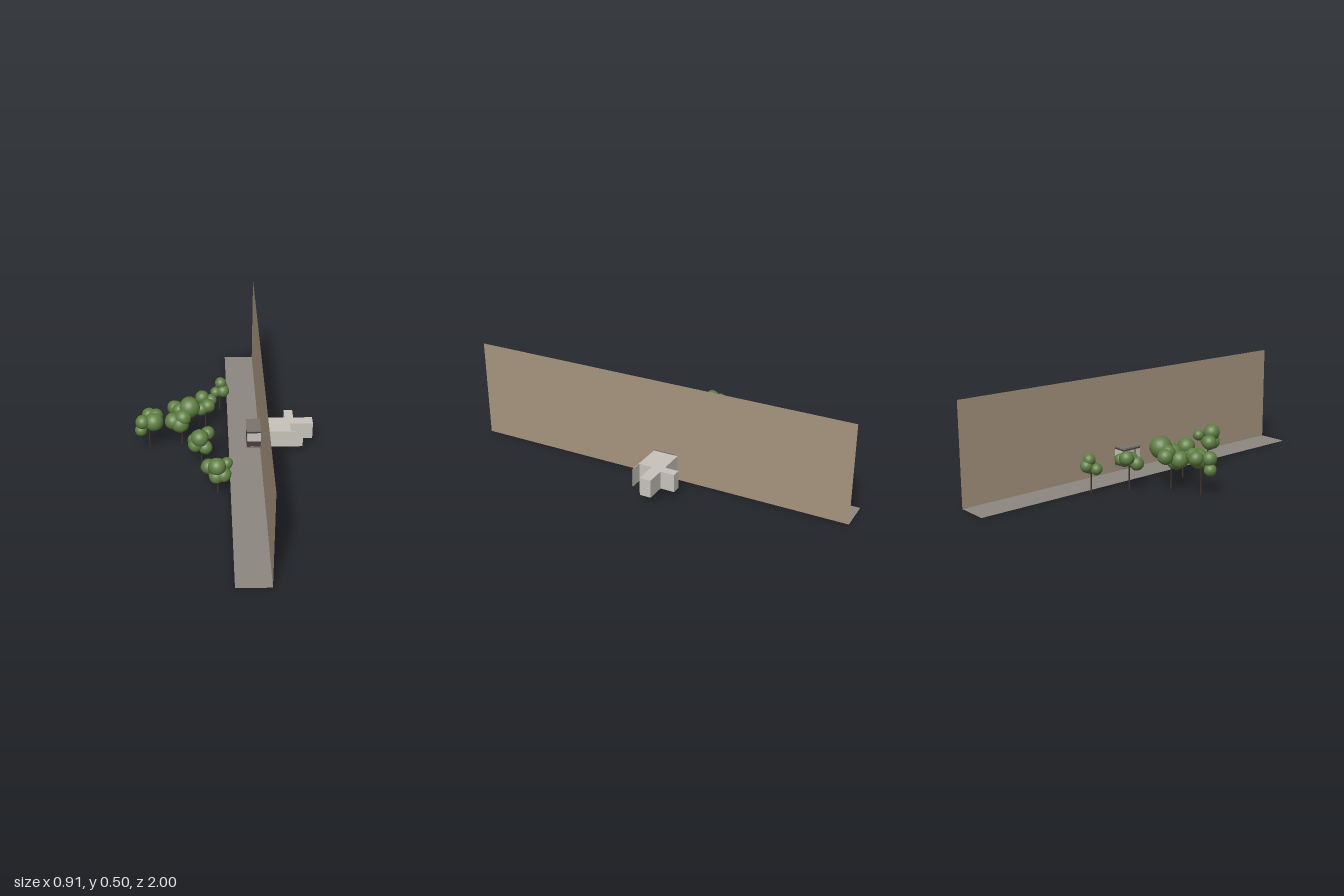
import * as THREE from 'three';

const mat = (name, color, side = THREE.FrontSide) => {
  const m = new THREE.MeshStandardMaterial({ color, side });
  m.name = name;
  return m;
};

export function createModel() {
  const model = new THREE.Group();
  model.name = 'cliffHouse';
  const rock = mat('cliffTan', 0xa7957e, THREE.DoubleSide);
  const ground = mat('groundGrey', 0x8c8780, THREE.DoubleSide);
  const concrete = mat('concrete', 0xc8c4bc);
  const slabGrey = mat('slabGrey', 0x7a746c);
  const darkBrown = mat('darkBrown', 0x4a4039);
  const underside = mat('undersideDark', 0x2b2927);
  const glass = mat('paleGlass', 0xc3c5be);
  const leaf = mat('leafGreen', 0x5f7f43);
  const bark = mat('bark', 0x3f342c);

  const add = (name, geo, material, parent = model) => {
    const mesh = new THREE.Mesh(geo, material);
    mesh.name = name;
    parent.add(mesh);
    return mesh;
  };
  // Box given by its minimum and maximum corners
  const box = (name, [x0, y0, z0], [x1, y1, z1], material, parent) => {
    const g = new THREE.BoxGeometry(x1 - x0, y1 - y0, z1 - z0);
    g.translate((x0 + x1) / 2, (y0 + y1) / 2, (z0 + z1) / 2);
    return add(name, g, material, parent);
  };

  // Cliff face and the ledge at its foot
  add('cliffWall', new THREE.PlaneGeometry(2, 0.505).rotateY(Math.PI / 2).translate(0.182, 0.2525, 0), rock);
  add('groundStrip', new THREE.PlaneGeometry(0.162, 2).rotateX(-Math.PI / 2).translate(0.101, 0, 0), ground);

  // Rooms on the far side of the cliff: one plan with two arms
  const house = new THREE.Group();
  house.name = 'house';
  model.add(house);
  const plan = [[0.183, 0], [0.333, 0], [0.333, -0.07], [0.452, -0.07], [0.452, -0.128],
    [0.355, -0.128], [0.355, -0.2], [0.31, -0.2], [0.31, -0.128], [0.183, -0.128]];
  const shape = () => new THREE.Shape(plan.map(([x, z]) => new THREE.Vector2(x, -z)));
  const prism = (y, depth) => new THREE.ExtrudeGeometry(shape(), { depth, bevelEnabled: false })
    .rotateX(-Math.PI / 2).translate(0, y, 0);
  add('rooms', prism(0.039, 0.091), concrete, house);
  add('roomFloor', prism(0.0375, 0.0015), underside, house);
  box('screenWall', [0.183, 0.0375, -0.002], [0.396, 0.13, 0.001], concrete, house);

  // Glazed lookout projecting over the ledge
  const lookout = new THREE.Group();
  lookout.name = 'lookout';
  model.add(lookout);
  box('lowerSlab', [0.109, 0.03, -0.112], [0.184, 0.0345, 0.002], slabGrey, lookout);
  box('parapet', [0.112, 0.0375, -0.109], [0.182, 0.07, 0], darkBrown, lookout);
  box('floorJoint', [0.116, 0.0345, -0.105], [0.182, 0.0375, -0.004], concrete, lookout);
  box('windows', [0.113, 0.07, -0.108], [0.182, 0.12, -0.001], glass, lookout);
  box('windowHeader', [0.112, 0.12, -0.109], [0.182, 0.127, 0], darkBrown, lookout);
  box('roofJoint', [0.116, 0.127, -0.105], [0.182, 0.1305, -0.004], concrete, lookout);
  box('roofSlab', [0.109, 0.1305, -0.112], [0.184, 0.135, 0.004], slabGrey, lookout);
  for (const z of [-0.073, -0.036]) {
    box('mullion', [0.111, 0.07, z - 0.002], [0.115, 0.12, z + 0.002], darkBrown, lookout);
  }

  // Leaf ball with a gently lumpy surface
  const leafBall = (x, y, z, r, seed) => {
    const g = new THREE.IcosahedronGeometry(r, 3);
    const p = g.attributes.position, n = g.attributes.normal, v = new THREE.Vector3();
    for (let i = 0; i < p.count; i++) {
      v.fromBufferAttribute(p, i).normalize();
      const k = 1 + 0.035 * Math.sin(4 * v.x + seed) * Math.cos(5 * v.y + 2 * seed)
        + 0.025 * Math.sin(6 * v.z + 3 * seed);
      p.setXYZ(i, v.x * r * k, v.y * r * k, v.z * r * k);
      n.setXYZ(i, v.x, v.y, v.z);
    }
    return g.translate(x, y, z);
  };

  // Trees: trunk [x, z, height] and leaf balls [x, y, z, radius]
  const trees = [
    { trunk: [-0.385, -0.05, 0.16], balls: [[-0.415, 0.18, -0.025, 0.036], [-0.36, 0.172, -0.04, 0.049],
      [-0.425, 0.128, -0.03, 0.031], [-0.385, 0.185, -0.085, 0.036], [-0.35, 0.19, -0.068, 0.036]] },
    { trunk: [-0.22, -0.09, 0.15], balls: [[-0.18, 0.205, -0.12, 0.054], [-0.262, 0.152, -0.075, 0.044],
      [-0.212, 0.175, -0.07, 0.042], [-0.228, 0.14, -0.065, 0.046], [-0.256, 0.18, -0.16, 0.038],
      [-0.23, 0.19, -0.12, 0.036]] },
    { trunk: [-0.098, -0.25, 0.13], balls: [[-0.115, 0.165, -0.28, 0.036], [-0.068, 0.15, -0.278, 0.03],
      [-0.12, 0.13, -0.22, 0.034], [-0.085, 0.145, -0.228, 0.037]] },
    { trunk: [-0.02, -0.42, 0.12], balls: [[-0.01, 0.135, -0.438, 0.032], [-0.043, 0.12, -0.405, 0.028],
      [-0.003, 0.125, -0.408, 0.034], [-0.015, 0.165, -0.425, 0.03]] },
    { trunk: [-0.12, 0.08, 0.13], balls: [[-0.155, 0.115, 0.045, 0.034], [-0.088, 0.15, 0.035, 0.034],
      [-0.128, 0.16, 0.095, 0.044], [-0.15, 0.115, 0.088, 0.037], [-0.1, 0.1, 0.09, 0.035]] },
    { trunk: [-0.043, 0.33, 0.13], balls: [[-0.085, 0.135, 0.3, 0.038], [-0.046, 0.173, 0.355, 0.043],
      [-0.015, 0.125, 0.355, 0.037], [0.001, 0.157, 0.305, 0.029], [-0.05, 0.12, 0.36, 0.036]] },
  ];
  trees.forEach(({ trunk: [x, z, h], balls }, t) => {
    const tree = new THREE.Group();
    tree.name = 'tree';
    model.add(tree);
    add('trunk', new THREE.CylinderGeometry(0.003, 0.0045, h, 8).translate(x, h / 2, z), bark, tree);
    balls.forEach((b, i) => add('foliage', leafBall(...b, t * 1.7 + i * 2.3), leaf, tree));
  });

  return model;
}
